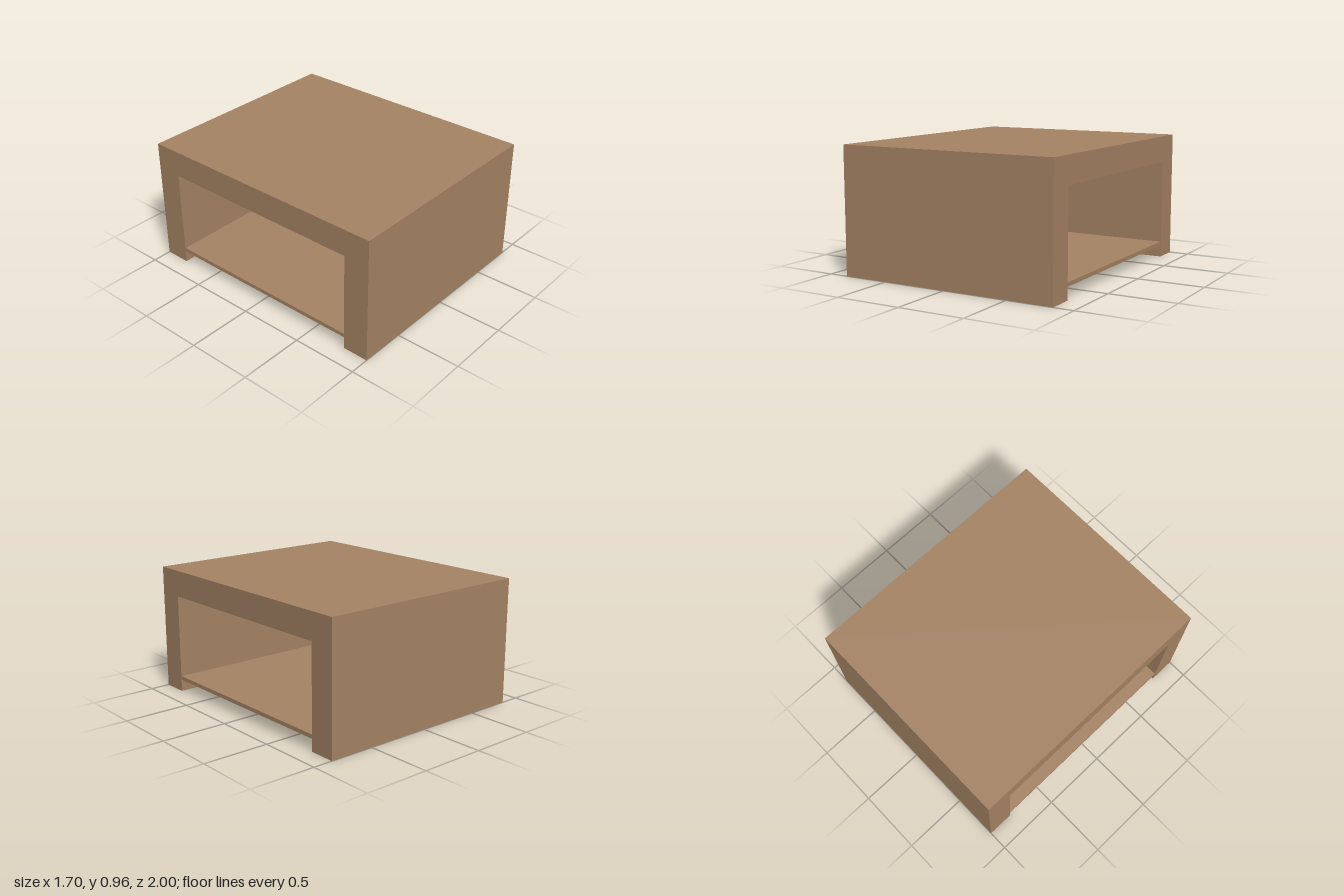
import * as THREE from 'three';

const WIDTH = 1.7, HEIGHT = 0.96, DEPTH = 2, THICK = 0.2;

export function createModel() {
  const group = new THREE.Group();
  group.name = 'coffeeTable';
  const wood = new THREE.MeshStandardMaterial({ color: 0xa58363 });
  wood.name = 'brown wood';

  // Frame: an upside-down U profile (drawn as z, y) extruded across the width
  const half = DEPTH / 2, inner = half - THICK, under = HEIGHT - THICK;
  const profile = new THREE.Shape([
    [-half, 0], [-inner, 0], [-inner, under], [inner, under],
    [inner, 0], [half, 0], [half, HEIGHT], [-half, HEIGHT],
  ].map(([z, y]) => new THREE.Vector2(z, y)));
  const frameGeometry = new THREE.ExtrudeGeometry(profile, { depth: WIDTH, bevelEnabled: false });
  frameGeometry.translate(0, 0, -WIDTH / 2).rotateY(Math.PI / 2);
  const frame = new THREE.Mesh(frameGeometry, wood);
  frame.name = 'tableFrame';
  group.add(frame);

  // Thin shelf between the two side panels
  const shelf = new THREE.Mesh(new THREE.BoxGeometry(WIDTH - 0.004, 0.03, inner * 2 - 0.004), wood);
  shelf.name = 'lowerShelf';
  shelf.position.y = 0.106;
  group.add(shelf);

  return group;
}
